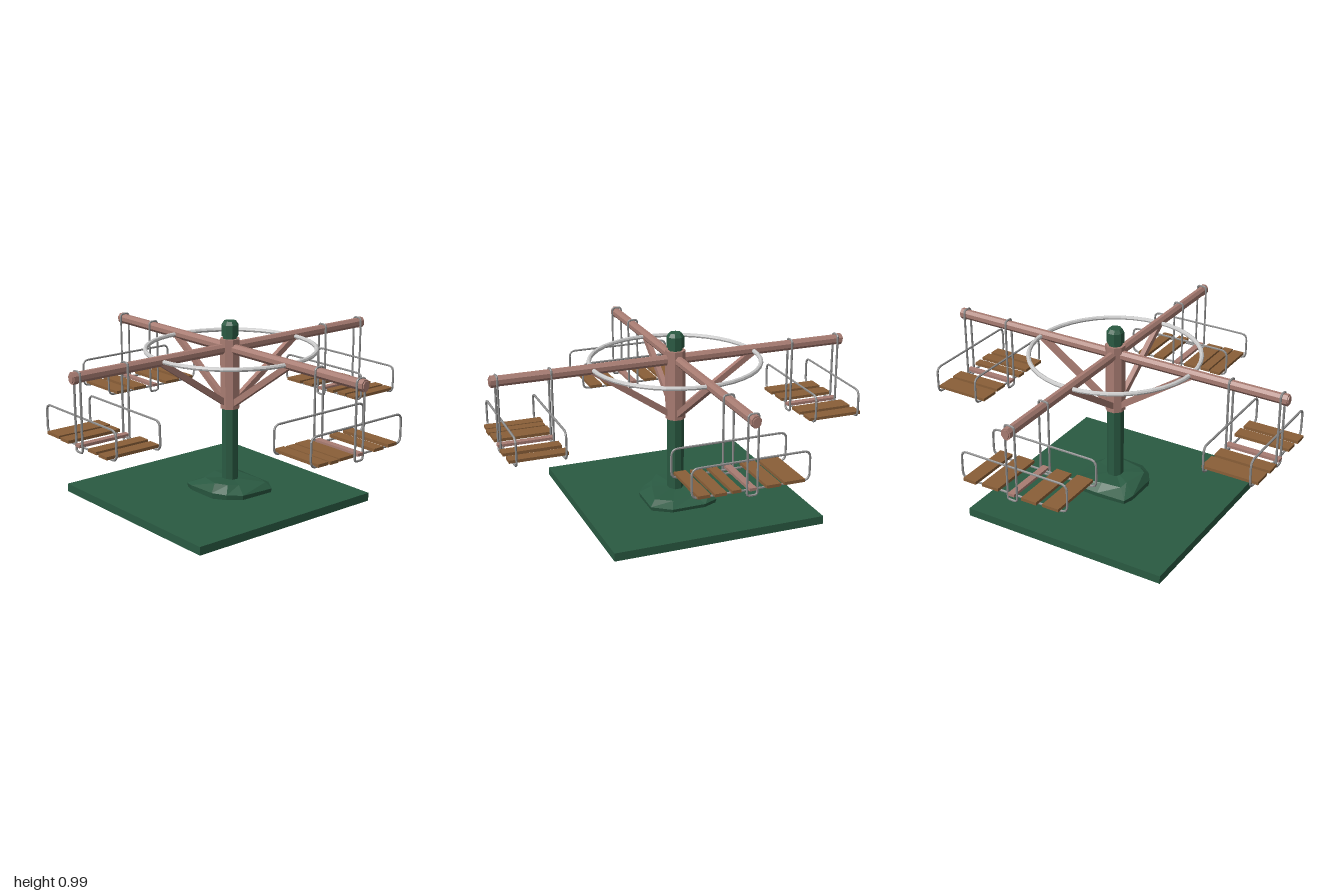
import * as THREE from 'three';

const mat = (color) => new THREE.MeshStandardMaterial({ color, flatShading: true });
const green = mat(0x2a5a42), paint = mat(0xa87c72), wood = mat(0x8a5f38);
const steel = mat(0x8c8c8c), ringSteel = mat(0xcccccc);
const OFFSET = -0.008; // the arms sit slightly off the origin

function add(parent, name, geometry, material, x = 0, y = 0, z = 0) {
  const mesh = new THREE.Mesh(geometry, material);
  mesh.name = name;
  mesh.position.set(x, y, z);
  parent.add(mesh);
  return mesh;
}

// Upright octagonal solid of revolution from [radius, height] pairs
function octagon(profile) {
  return new THREE.LatheGeometry(profile.map(([r, y]) => new THREE.Vector2(r, y)), 8, Math.PI / 8);
}

// Closed rod bent into a rounded rectangle in the z-y plane
function rodLoop(z0, z1, y0, y1, corner, radius) {
  const path = new THREE.CurvePath();
  const p = (z, y) => new THREE.Vector3(0, y, z);
  const corners = [[z0, y0], [z1, y0], [z1, y1], [z0, y1]];
  const dirs = [[1, 0], [0, 1], [-1, 0], [0, -1]];
  corners.forEach(([z, y], i) => {
    const [nz, ny] = corners[(i + 1) % 4], [dz, dy] = dirs[i], [ez, ey] = dirs[(i + 1) % 4];
    const end = p(nz - dz * corner, ny - dy * corner);
    path.add(new THREE.LineCurve3(p(z + dz * corner, y + dy * corner), end));
    path.add(new THREE.QuadraticBezierCurve3(end, p(nz, ny), p(nz + ez * corner, ny + ey * corner)));
  });
  return new THREE.TubeGeometry(path, 96, radius, 6, true);
}

// Faceted boulder: a few scaled copies of one irregular outline, closed by a centre point
function boulder() {
  const outline = [[-0.165, -0.18], [0, -0.19], [0.16, -0.18], [0.195, -0.1], [0.195, 0.09],
    [0.13, 0.19], [-0.07, 0.185], [-0.14, 0.13], [-0.185, 0.06], [-0.185, -0.12]];
  const tops = [0.1, 0.11, 0.1, 0.095, 0.09, 0.1, 0.108, 0.115, 0.125, 0.115];
  const n = outline.length, pos = [], index = [];
  const levels = [[0.97, 0], [1, 0.45], [0.74, 1]];
  levels.forEach(([s, h], l) => outline.forEach(([x, z], i) => {
    const k = l === 2 ? s + (i % 3 - 1) * 0.1 : s;
    pos.push(x * k, 0.04 + (tops[i] - 0.04) * h, z * k);
  }));
  pos.push(0, 0.11, 0);
  for (let i = 0; i < n; i++) {
    const j = (i + 1) % n;
    for (let l = 0; l < 2; l++) {
      const a = l * n + i, b = l * n + j;
      index.push(a, a + n, b, b, a + n, b + n);
    }
    index.push(2 * n + i, 3 * n, 2 * n + j);
  }
  const g = new THREE.BufferGeometry();
  g.setAttribute('position', new THREE.Float32BufferAttribute(pos, 3));
  g.setIndex(index);
  g.computeVertexNormals();
  return g;
}

// Hanging seat: hangers, side rails and slats, with the arm along +x
function createSeat(slats, sign) {
  const seat = new THREE.Group();
  seat.name = 'hangingSeat';
  for (const x of [0.682, 0.963]) {
    add(seat, 'hanger', rodLoop(-0.027, 0.027, 0.458, 0.868, 0.015, 0.006), steel, x);
  }
  const ends = [-0.307 * sign, 0.303 * sign].map((e) => e + (sign < 0 ? -0 : 0)).sort((a, b) => a - b);
  for (const x of [0.696, 0.952]) {
    add(seat, 'seatRail', rodLoop(ends[0], ends[1], 0.485, 0.635, 0.035, 0.006), steel, x);
  }
  add(seat, 'seatCrossbar', new THREE.BoxGeometry(0.3, 0.015, 0.036), paint, 0.825, 0.493, 0);
  slats.forEach(([a, b], i) => {
    const centre = sign * ((a + b) / 2 - OFFSET);
    add(seat, 'seatSlat', new THREE.BoxGeometry(0.308, 0.016, b - a), wood,
      0.825 + (i % 2 ? 0.004 : -0.002), 0.497, centre);
  });
  return seat;
}

// One arm with its brace, end collar and seat
function createArm(slats, sign) {
  const arm = new THREE.Group();
  arm.name = 'arm';
  const along = (r, length) => new THREE.CylinderGeometry(r, r, length, 8)
    .rotateY(Math.PI / 8).rotateZ(Math.PI / 2);
  add(arm, 'beam', along(0.0285, 0.98).scale(1, 1, 0.85), paint, 0.49, 0.838);
  add(arm, 'beamCollar', along(0.032, 0.03).scale(1, 1, 0.85), paint, 0.979, 0.838);
  add(arm, 'beamTip', along(0.024, 0.006).scale(1, 1, 0.85), paint, 0.997, 0.838);
  const from = new THREE.Vector2(0.03, 0.535), to = new THREE.Vector2(0.465, 0.832);
  const brace = add(arm, 'brace', new THREE.BoxGeometry(from.distanceTo(to), 0.032, 0.028), paint,
    (from.x + to.x) / 2, (from.y + to.y) / 2);
  brace.rotation.z = to.clone().sub(from).angle();
  arm.add(createSeat(slats, sign));
  return arm;
}

export function createModel() {
  const model = new THREE.Group();
  model.name = 'merryGoRound';

  // Ground slab, boulder and fixed post
  add(model, 'baseSlab', new THREE.BoxGeometry(1.172, 0.045, 1.174), green, -0.059, 0.0225, -0.053);
  add(model, 'boulder', boulder(), green);
  add(model, 'post', octagon([[0, 0.04], [0.046, 0.04], [0.046, 0.52], [0.038, 0.52], [0.038, 0.91], [0, 0.91]]),
    green, -0.004, 0, -0.004);
  add(model, 'postCap', octagon([[0, 0.905], [0.047, 0.905], [0.047, 0.965], [0.033, 0.985], [0, 0.985]]),
    green, -0.004, 0, -0.004);

  // Turning sleeve and stiffening ring
  add(model, 'sleeve', octagon([[0, 0.508], [0.054, 0.508], [0.054, 0.89], [0, 0.89]]),
    paint, -0.004, 0, -0.004);
  add(model, 'ring', new THREE.TorusGeometry(0.455, 0.012, 8, 40).rotateX(Math.PI / 2), ringSteel, 0, 0.835, 0);

  // Four arms; each list gives the slat spans across its seat
  const seats = [
    [[-0.278, -0.171], [-0.15, -0.075], [0.053, 0.1], [0.13, 0.19], [0.21, 0.273]],
    [[-0.28, -0.19], [-0.158, -0.072], [0.067, 0.163], [0.195, 0.27]],
    [[-0.278, -0.171], [-0.15, -0.075], [0.09, 0.16], [0.187, 0.257]],
    [[-0.29, -0.227], [-0.217, -0.163], [-0.152, -0.06], [0.078, 0.142], [0.18, 0.243]],
  ];
  seats.forEach((slats, i) => {
    const arm = createArm(slats, i < 2 ? 1 : -1);
    arm.rotation.y = i * Math.PI / 2;
    arm.position.set(i % 2 ? OFFSET : 0, 0, i % 2 ? 0 : OFFSET);
    model.add(arm);
  });
  return model;
}
